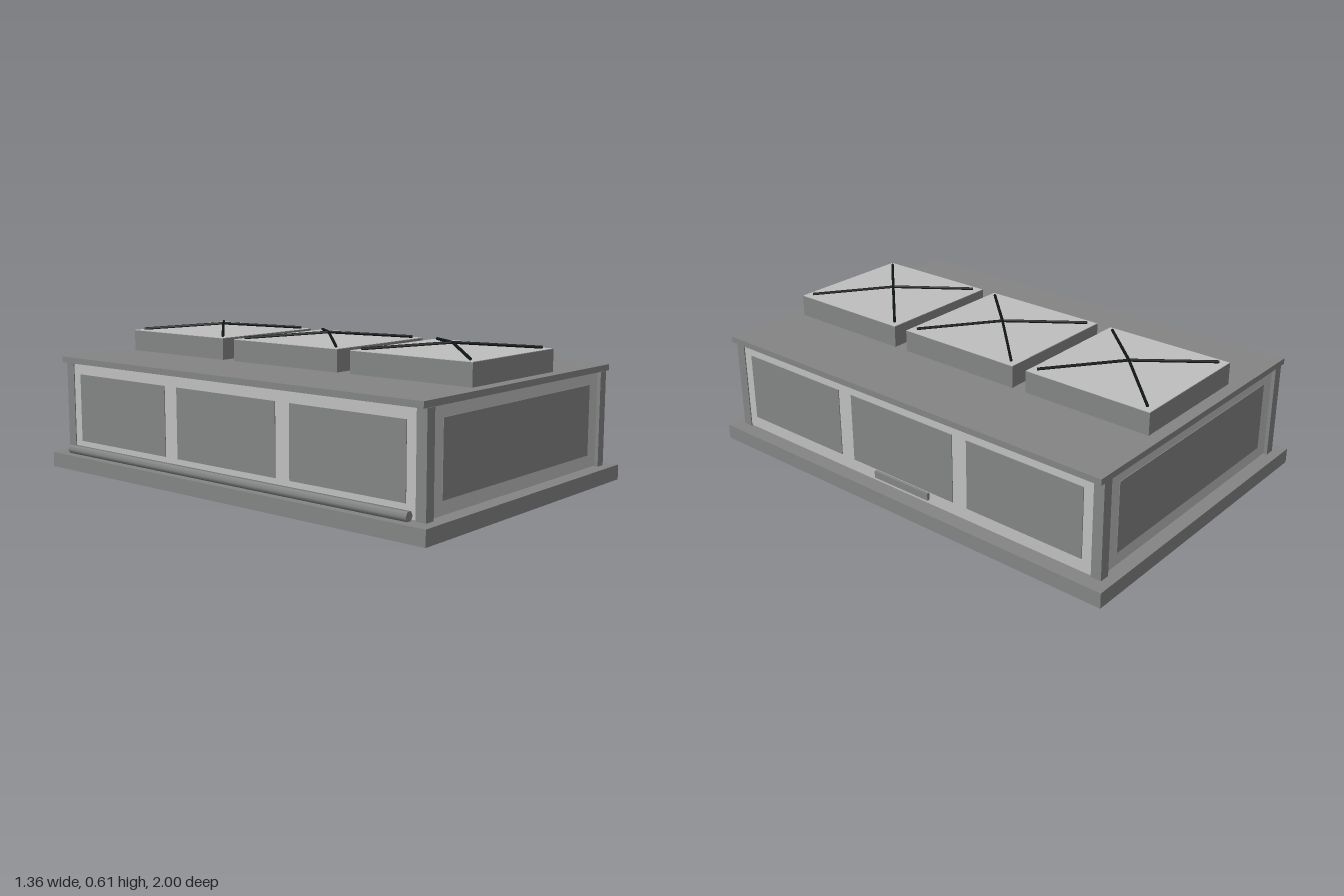
import * as THREE from 'three';

const material = (name, color) => {
  const m = new THREE.MeshStandardMaterial({ color });
  m.name = name;
  return m;
};

export function createModel() {
  const model = new THREE.Group();
  model.name = 'rooftopUnit';
  const darkGrey = material('darkGrey', 0x848685);
  darkGrey.side = THREE.DoubleSide; // the base is an open tray
  const lightGrey = material('lightGrey', 0xc0c0c0);
  const black = material('black', 0x101515);

  // Box given by its extents along each axis
  const box = (name, mat, [x0, x1], [y0, y1], [z0, z1], parent = model) => {
    const mesh = new THREE.Mesh(new THREE.BoxGeometry(x1 - x0, y1 - y0, z1 - z0), mat);
    mesh.position.set((x0 + x1) / 2, (y0 + y1) / 2, (z0 + z1) / 2);
    mesh.name = name;
    parent.add(mesh);
    return mesh;
  };

  // Straight round bar between two points
  const bar = (name, mat, a, b, radius, sides, parent) => {
    const dir = b.clone().sub(a);
    const mesh = new THREE.Mesh(new THREE.CylinderGeometry(radius, radius, dir.length(), sides), mat);
    mesh.position.copy(a).add(b).multiplyScalar(0.5);
    mesh.quaternion.setFromUnitVectors(new THREE.Vector3(0, 1, 0), dir.normalize());
    mesh.name = name;
    parent.add(mesh);
  };

  // Base tray: a box without its bottom face (the fourth side of the box)
  const base = box('base', darkGrey, [-0.68, 0.68], [0, 0.063], [-1, 1]).geometry;
  base.setIndex(Array.from(base.index.array).filter((_, i) => i < 18 || i >= 24));
  base.clearGroups();

  // Cabinet, held just clear of the base and roof surfaces
  const cabinetX = 0.618, cabinetZ = 0.944;
  box('cabinet', lightGrey, [-cabinetX, cabinetX], [0.067, 0.457], [-cabinetZ, cabinetZ]);
  box('roof', darkGrey, [-0.645, 0.645], [0.458, 0.483], [-0.96, 0.96]);

  // Corner posts
  for (const x of [-0.6, 0.6])
    for (const z of [-0.937, 0.937])
      box('cornerPost', darkGrey, [x - 0.022, x + 0.022], [0.064, 0.457], [z - 0.022, z + 0.022]);

  // Grilles: one on each end, three on each side
  const height = [0.12, 0.41];
  for (const s of [-1, 1]) {
    const zs = s * cabinetZ;
    box('endGrille', darkGrey, [-0.51, 0.51], height, [zs - 0.003, zs + 0.003]);
    const xs = s * cabinetX;
    for (const z of [-0.605, 0, 0.605])
      box('sideGrille', darkGrey, [xs - 0.003, xs + 0.003], height, [z - 0.267, z + 0.267]);
  }

  // Fan housings with raised cross braces
  for (const z of [-0.627, 0, 0.627]) {
    const fan = new THREE.Group();
    fan.name = 'fanHousing';
    fan.position.z = z;
    model.add(fan);
    box('fanBox', darkGrey, [-0.281, 0.281], [0.483, 0.573], [-0.281, 0.281], fan);
    box('fanTop', lightGrey, [-0.28, 0.28], [0.573, 0.575], [-0.28, 0.28], fan);
    const peak = new THREE.Vector3(0, 0.602, 0);
    for (const x of [-0.25, 0.25])
      for (const c of [-0.25, 0.25])
        bar('crossBrace', black, new THREE.Vector3(x, 0.58, c), peak, 0.006, 6, fan);
  }

  // Rail on the left side, hexagonal pipe on the right side
  box('sideRail', darkGrey, [cabinetX, 0.63], [0.085, 0.115], [-0.143, 0.143]);
  const pipeShape = new THREE.CylinderGeometry(0.02, 0.02, 1.82, 6).rotateY(Math.PI / 2).rotateX(Math.PI / 2);
  const pipe = new THREE.Mesh(pipeShape, darkGrey);
  pipe.name = 'sidePipe';
  pipe.position.set(-0.651, 0.086, 0);
  model.add(pipe);

  return model;
}
